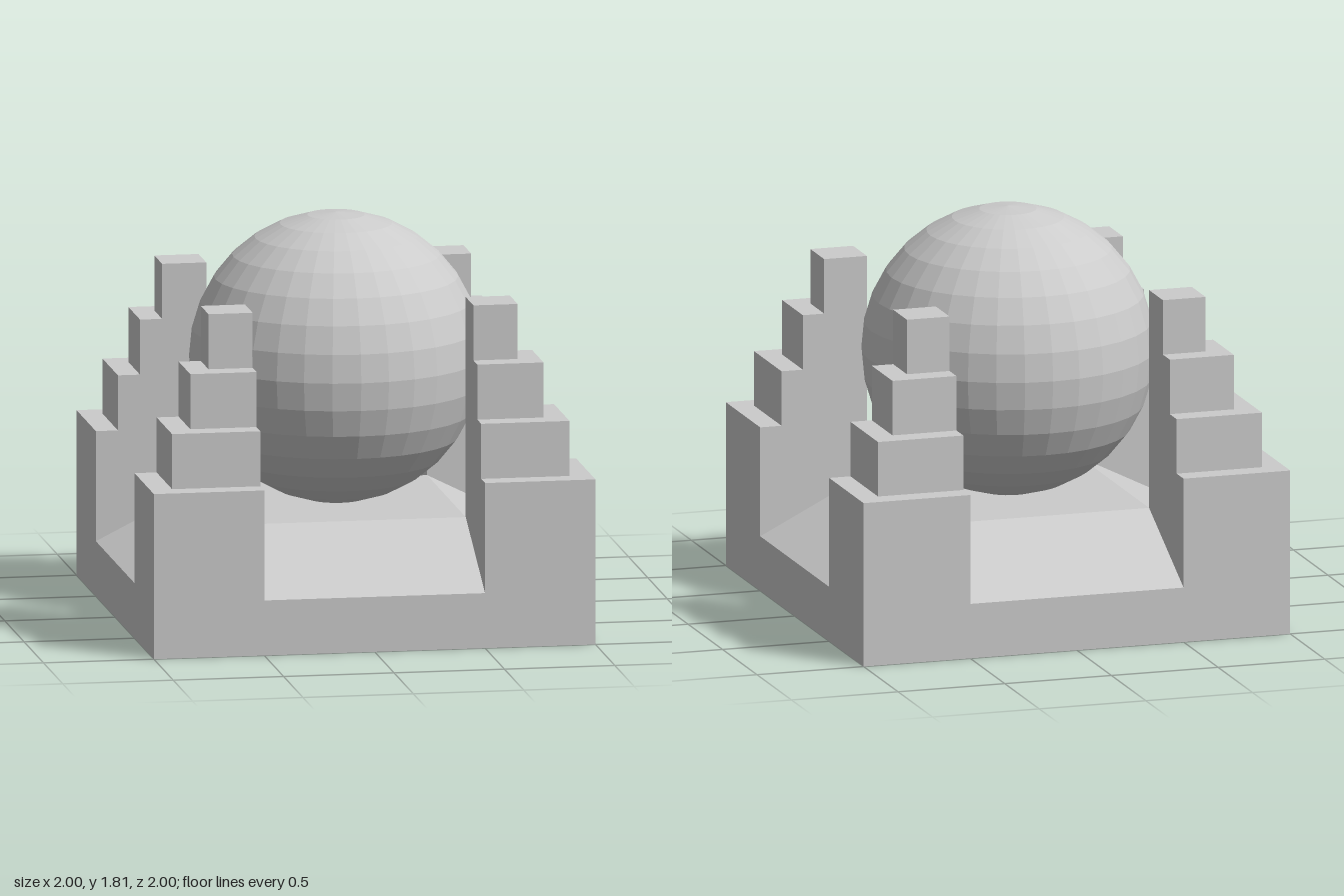
import * as THREE from 'three';

export function createModel() {
  const model = new THREE.Group();
  const material = new THREE.MeshStandardMaterial({ color: 0xcccccc, flatShading: true });

  function add(parent, name, geometry, x = 0, y = 0, z = 0) {
    const mesh = new THREE.Mesh(geometry, material);
    mesh.name = name;
    mesh.position.set(x, y, z);
    parent.add(mesh);
    return mesh;
  }

  // Central square platform
  add(model, 'platform', new THREE.BoxGeometry(1, 0.5, 1), 0, 0.25, 0);

  // Ramp profile: low at the outer edge, level with the platform inside
  const profile = new THREE.Shape([
    new THREE.Vector2(0.5, 0),
    new THREE.Vector2(1, 0),
    new THREE.Vector2(1, 0.25),
    new THREE.Vector2(0.5, 0.5),
  ]);
  const rampGeometry = new THREE.ExtrudeGeometry(profile, { depth: 1, bevelEnabled: false });
  rampGeometry.translate(0, 0, -0.5);

  // Stepped corner tower: each tier shrinks toward the inner corner
  const tiers = [
    { outer: 1.0, bottom: 0, top: 0.75 },
    { outer: 0.9, bottom: 0.75, top: 1.0 },
    { outer: 0.8, bottom: 1.0, top: 1.25 },
    { outer: 0.7, bottom: 1.25, top: 1.5 },
  ];
  const inner = 0.5;

  // One ramp and one tower per quarter turn
  for (let i = 0; i < 4; i++) {
    const angle = (i * Math.PI) / 2;
    add(model, 'ramp', rampGeometry).rotation.y = angle;

    const tower = new THREE.Group();
    tower.name = 'cornerTower';
    tower.rotation.y = angle;
    for (const { outer, bottom, top } of tiers) {
      const size = outer - inner;
      const centre = (outer + inner) / 2;
      add(tower, 'towerTier', new THREE.BoxGeometry(size, top - bottom, size),
        centre, (top + bottom) / 2, centre);
    }
    model.add(tower);
  }

  // Faceted ball resting on the platform
  add(model, 'ball', new THREE.SphereGeometry(0.656, 32, 16), 0, 1.154, 0);

  return model;
}
